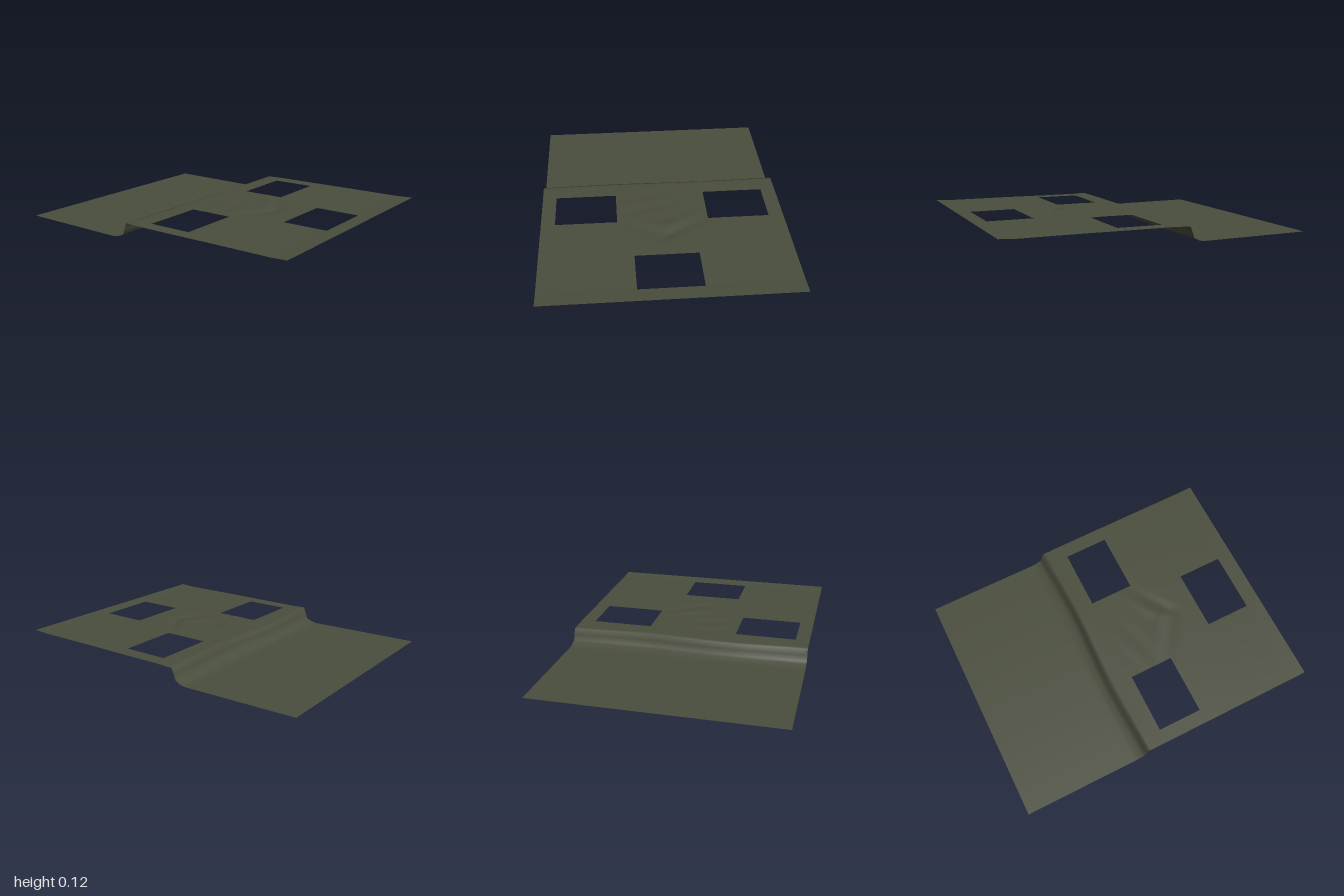
import * as THREE from 'three';

// Rectangular openings: [x0, x1, z0, z1]
const HOLES = [
  [-0.69, -0.295, -0.025, 0.265],
  [0.29, 0.685, -0.025, 0.265],
  [-0.2, 0.195, 0.605, 0.9],
];

// Height along z: flat lower ground, short steep bank, upper plateau
const PROFILE = [
  [-1, 0], [-0.255, 0], [-0.225, 0.007], [-0.186, 0.024], [-0.174, 0.06], [-0.16, 0.096],
  [-0.145, 0.1], [0.2, 0.103], [0.5, 0.107], [0.9, 0.11], [1, 0.116],
];

function profileHeight(z) {
  for (let i = 1; i < PROFILE.length; i++) {
    const [z0, y0] = PROFILE[i - 1], [z1, y1] = PROFILE[i];
    if (z <= z1) return y0 + (y1 - y0) * (z - z0) / (z1 - z0);
  }
  return PROFILE[PROFILE.length - 1][1];
}

const bump = (d, w) => Math.exp(-(d * d) / (w * w));

function height(x, z) {
  let y = profileHeight(z);
  // shallow V-shaped gully and soft ripples between the openings
  const gully = bump(z - (0.43 - 0.6 * Math.abs(x)), 0.035) * bump(x, 0.2);
  const ridge = bump(z - (0.34 - 0.6 * Math.abs(x)), 0.04) * bump(x, 0.2);
  const ripple = Math.sin(z * 42 + x * 9) * bump(z - 0.1, 0.13) * bump(x + 0.1, 0.17);
  y += -0.008 * gully + 0.006 * ridge + 0.003 * ripple;
  // slight waviness of the plateau edge
  y += 0.003 * Math.sin(x * 6) * bump(z + 0.13, 0.05) * (z > -0.17 ? 1 : 0);
  return y;
}

// Grid lines passing through every break value, subdivided to at most `step`
function gridLines(breaks, step) {
  const b = [...new Set(breaks)].sort((p, q) => p - q);
  const lines = [b[0]];
  for (let i = 1; i < b.length; i++) {
    const n = Math.max(1, Math.ceil((b[i] - b[i - 1]) / step));
    for (let k = 1; k <= n; k++) lines.push(b[i - 1] + (b[i] - b[i - 1]) * k / n);
  }
  return lines;
}

function terrainGeometry() {
  const xs = gridLines([-0.78, 0.78, ...HOLES.flatMap(h => [h[0], h[1]])], 0.03);
  const zs = gridLines([...PROFILE.map(p => p[0]), ...HOLES.flatMap(h => [h[2], h[3]])], 0.025);
  const positions = [], index = [];
  for (const z of zs) {
    for (const x of xs) {
      // the bank line wanders a little from side to side
      const shift = 0.008 * Math.sin(x * 5.6) * bump(z + 0.175, 0.05);
      positions.push(x, height(x, z), z + shift);
    }
  }
  for (let j = 0; j < zs.length - 1; j++) {
    for (let i = 0; i < xs.length - 1; i++) {
      const cx = (xs[i] + xs[i + 1]) / 2, cz = (zs[j] + zs[j + 1]) / 2;
      if (HOLES.some(([x0, x1, z0, z1]) => cx > x0 && cx < x1 && cz > z0 && cz < z1)) continue;
      const a = j * xs.length + i, b = a + xs.length;
      index.push(a, b, a + 1, b, b + 1, a + 1);
    }
  }
  const geometry = new THREE.BufferGeometry();
  geometry.setAttribute('position', new THREE.Float32BufferAttribute(positions, 3));
  geometry.setIndex(index);
  geometry.computeVertexNormals();
  return geometry;
}

export function createModel() {
  const group = new THREE.Group();
  group.name = 'terrainSheet';
  const ground = new THREE.MeshStandardMaterial({ color: 0x4a4e3d, side: THREE.DoubleSide });
  ground.name = 'mossGreen';
  const terrain = new THREE.Mesh(terrainGeometry(), ground);
  terrain.name = 'terrain';
  group.add(terrain);
  return group;
}
